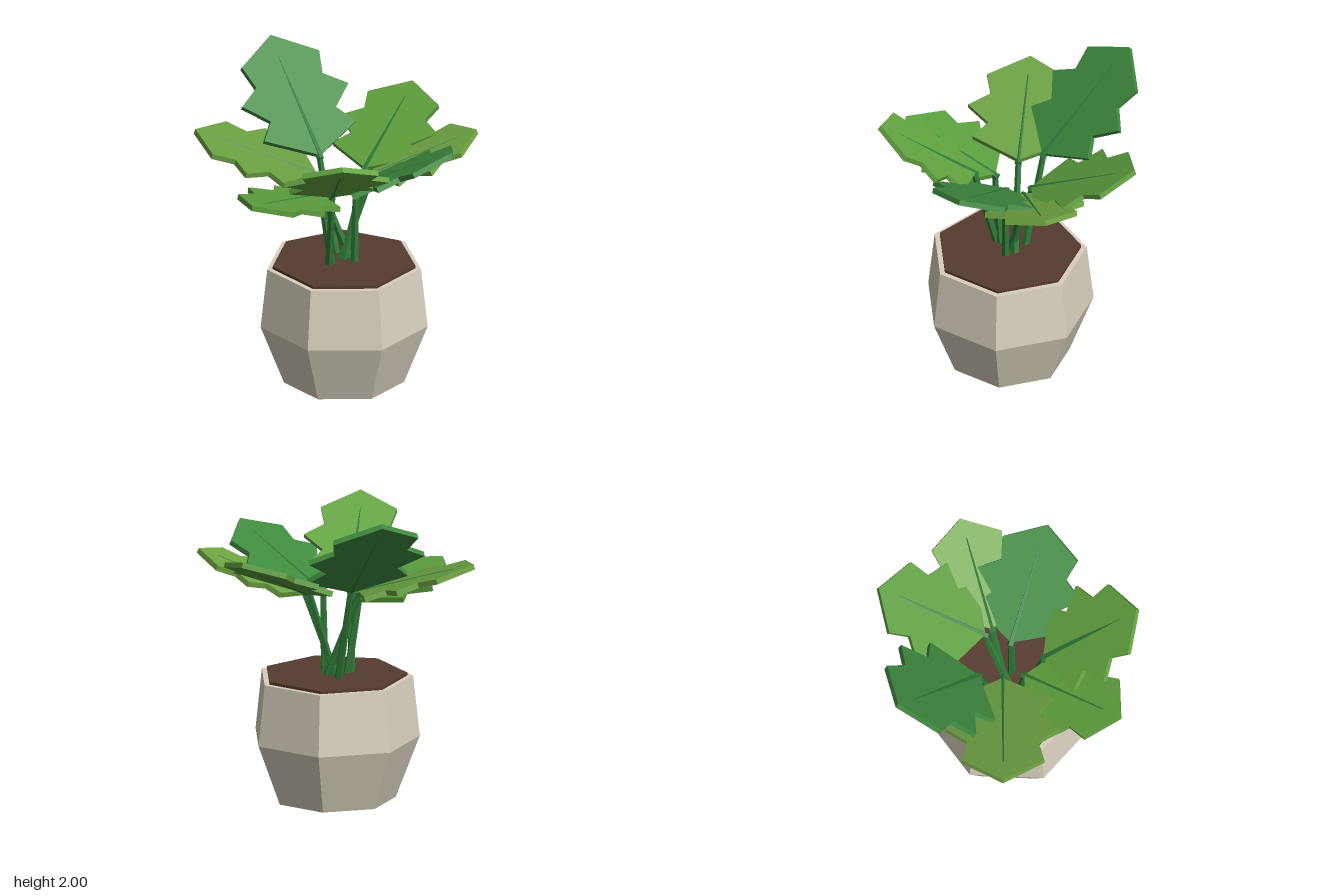
import * as THREE from 'three';

const mat = (color) => new THREE.MeshStandardMaterial({ color, flatShading: true });
const v = (p) => new THREE.Vector3(...p);

// Half outline of a lobed leaf of unit length: [half width, distance from base]
const HALF = [[0.38, 0.2], [0.27, 0.34], [0.44, 0.5], [0.275, 0.62], [0.32, 0.8]];
const THICK = 0.034;

// foot: stem at the soil (x, z); base and tip: ends of the leaf blade
const LEAVES = [
  { color: 0x3f8a3f, foot: [0.0, -0.11], base: [-0.105, 1.41, -0.235], tip: [-0.41, 1.985, -0.805] },
  { color: 0x5c9c3c, foot: [0.04, -0.01], base: [0.18, 1.36, -0.14], tip: [0.49, 1.68, -0.765] },
  { color: 0x70a544, foot: [0.02, -0.03], base: [0.22, 1.34, -0.085], tip: [0.885, 1.605, -0.167] },
  { color: 0x3f8a3f, foot: [0.11, 0.02], base: [0.12, 1.31, 0.02], tip: [0.72, 1.675, 0.36] },
  { color: 0x64a641, foot: [-0.05, 0.06], base: [-0.03, 1.34, 0.205], tip: [0.025, 1.78, 0.81] },
  { color: 0x5c9f3e, foot: [-0.03, 0.04], base: [-0.1, 1.27, 0.07], tip: [-0.54, 1.425, 0.6] },
  { color: 0x6aa042, foot: [0.09, -0.04], base: [-0.13, 1.35, -0.08], tip: [-0.89, 1.595, -0.215] },
];

function leafGeometry(length) {
  const right = HALF.map(([w, t]) => new THREE.Vector2(w * length, t * length));
  const left = right.map((p) => new THREE.Vector2(-p.x, p.y)).reverse();
  const shape = new THREE.Shape([
    new THREE.Vector2(0, 0), ...right, new THREE.Vector2(0, length), ...left,
  ]);
  const geo = new THREE.ExtrudeGeometry(shape, { depth: THICK, bevelEnabled: false });
  return geo.translate(0, 0, -THICK / 2);
}

// Tapered rod between two points
function rod(name, a, b, r0, r1, material) {
  const dir = b.clone().sub(a);
  const mesh = new THREE.Mesh(new THREE.CylinderGeometry(r1, r0, dir.length(), 5), material);
  mesh.name = name;
  mesh.position.copy(a).lerp(b, 0.5);
  mesh.quaternion.setFromUnitVectors(new THREE.Vector3(0, 1, 0), dir.normalize());
  return mesh;
}

export function createModel() {
  const model = new THREE.Group();
  model.name = 'pottedPlant';
  const stemMat = mat(0x2f7a38);

  // Seven-sided faceted pot
  const profile = [[0, 0], [0.387, 0], [0.538, 0.395], [0.495, 0.787], [0, 0.787]]
    .map(([r, y]) => new THREE.Vector2(r, y));
  const pot = new THREE.Mesh(new THREE.LatheGeometry(profile, 7, Math.PI), mat(0xd9d0be));
  pot.name = 'pot';
  pot.position.x = 0.045;
  model.add(pot);

  // Soil disc, slightly proud of the rim
  const soil = new THREE.Mesh(new THREE.CylinderGeometry(0.46, 0.46, 0.04, 7, 1, false, Math.PI), mat(0x573b2e));
  soil.name = 'soil';
  soil.position.set(0.045, 0.785, 0);
  model.add(soil);

  // Each plant shoot: stem, blade and midrib
  for (const { color, foot, base, tip } of LEAVES) {
    const shoot = new THREE.Group();
    shoot.name = 'shoot';
    const b = v(base);
    const t = v(tip);
    const along = t.clone().sub(b);
    const length = along.length();
    along.normalize();
    const across = along.clone().cross(new THREE.Vector3(0, 1, 0)).normalize();
    const normal = across.clone().cross(along);

    const blade = new THREE.Mesh(leafGeometry(length), mat(color));
    blade.name = 'leafBlade';
    blade.position.copy(b);
    blade.quaternion.setFromRotationMatrix(new THREE.Matrix4().makeBasis(across, along, normal));

    const root = new THREE.Vector3(foot[0], 0.78, foot[1]);
    shoot.add(
      blade,
      rod('stem', root, b, 0.026, 0.02, stemMat),
      rod('midrib', b.clone().addScaledVector(along, -0.02), b.clone().lerp(t, 0.82), 0.024, 0.02, stemMat),
    );
    model.add(shoot);
  }
  return model;
}
